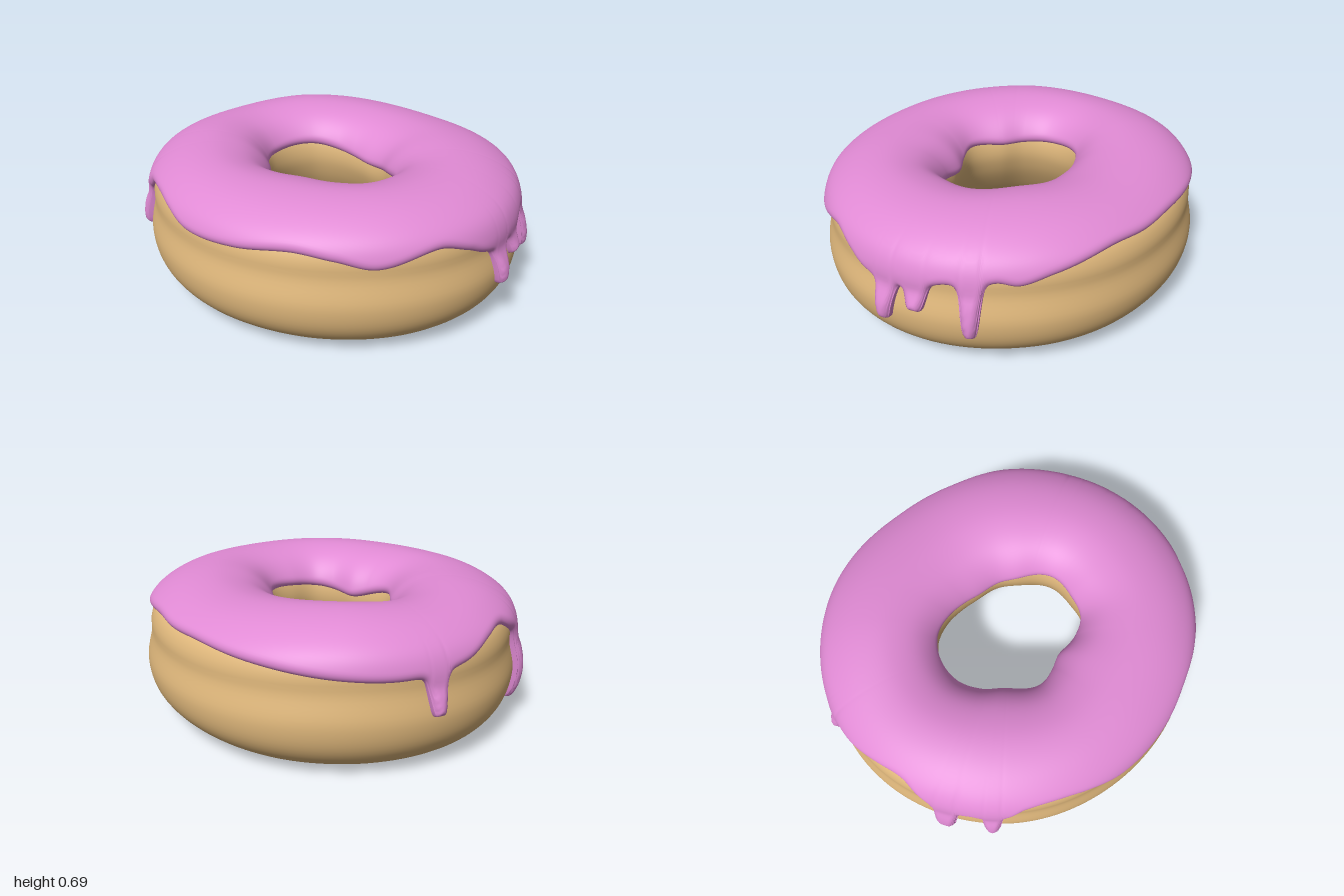
import * as THREE from 'three';

const RAD = Math.PI / 180;

// Smooth periodic interpolation through sorted [degrees, value] pairs
function around(table) {
  const n = table.length;
  const at = (k) => {
    const turn = Math.floor(k / n), [a, v] = table[k - turn * n];
    return [a + 360 * turn, v];
  };
  const slope = (k) => {
    const [a0, v0] = at(k - 1), [a1, v1] = at(k + 1);
    return (v1 - v0) / (a1 - a0);
  };
  return (deg) => {
    while (deg < table[0][0]) deg += 360;
    while (deg >= table[0][0] + 360) deg -= 360;
    let k = 0;
    while (at(k + 1)[0] <= deg) k++;
    const [a0, v0] = at(k), [a1, v1] = at(k + 1), h = a1 - a0, t = (deg - a0) / h;
    return v0 * (1 + 2 * t) * (1 - t) ** 2 + v1 * t * t * (3 - 2 * t)
      + h * t * (1 - t) * (slope(k) * (1 - t) - slope(k + 1) * t);
  };
}

// Angles run from the front (+z) towards +x
const outerRadius = around([[-135, 0.945], [-90, 0.963], [-45, 0.93], [0, 0.897], [45, 0.925], [90, 0.975], [135, 0.945], [180, 0.91]]);
const holeRadius = around([[-160, 0.295], [-141, 0.33], [-117, 0.375], [-82, 0.385], [-62, 0.36], [-42, 0.325], [-12, 0.335],
  [8, 0.31], [27, 0.295], [48, 0.345], [65, 0.375], [85, 0.36], [109, 0.355], [135, 0.305], [155, 0.295], [180, 0.278]]);
const crown = around([[-125, 0.7], [-90, 0.682], [-55, 0.695], [0, 0.68], [45, 0.682], [90, 0.675], [135, 0.685], [180, 0.67]]);
const outerEdge = around([[-170, 0.56], [-150, 0.53], [-125, 0.48], [-110, 0.47], [-92, 0.5], [-80, 0.55], [-70, 0.56], [-62, 0.5],
  [-49, 0.46], [-37, 0.48], [-32, 0.53], [-21, 0.545], [-12, 0.53], [0, 0.495], [18, 0.505], [35, 0.53], [47, 0.505], [58, 0.47],
  [75, 0.52], [84, 0.48], [91, 0.43], [101, 0.42], [113, 0.47], [127, 0.49], [133, 0.475], [142, 0.51], [160, 0.56], [175, 0.56]]);
const innerEdge = around([[-150, 0.49], [-100, 0.52], [-50, 0.49], [-10, 0.51], [25, 0.46], [60, 0.49], [100, 0.52], [150, 0.48]]);
// [angle, tip height, half width in degrees]
const drips = [[-101, 0.3, 2.6], [-56, 0.12, 3.1], [-42, 0.24, 2.7], [97, 0.24, 2.7], [106, 0.32, 2.9], [120.5, 0.23, 2.6]];

// Ring cross-section: x is 0 at the hole and WIDTH at the rim
const WIDTH = 0.585, SAMPLES = 400, TOP = 0.66, ICING = 0.033;
const section = new THREE.CatmullRomCurve3([
  [0, 0.44], [0.04, 0.54], [0.17, 0.62], [0.38, TOP], [0.58, 0.655], [0.76, 0.62], [0.9, 0.56], [0.95, 0.49], [0.955, 0.42],
  [1, 0.28], [0.96, 0.16], [0.84, 0.07], [0.64, 0.015], [0.45, 0.025], [0.28, 0.1], [0.13, 0.225], [0.035, 0.34],
].map(([u, y]) => new THREE.Vector3(u * WIDTH, y, 0)), true);
section.arcLengthDivisions = 1000;
const samples = section.getSpacedPoints(SAMPLES);
const step = section.getLength() / SAMPLES;

function sectionAt(s) {
  const f = s / step, i = Math.floor(f);
  const a = samples[((i % SAMPLES) + SAMPLES) % SAMPLES], b = samples[(((i + 1) % SAMPLES) + SAMPLES) % SAMPLES];
  return a.clone().lerp(b, f - i);
}

// Distance along the section where it crosses a height, on the rim or hole side
function distanceAtHeight(y, rim) {
  let i = rim ? Math.round(0.45 / step) : 0;
  while (rim ? samples[i + 1].y > y : samples[i + 1].y < y) i++;
  return (i + (y - samples[i].y) / (samples[i + 1].y - samples[i].y)) * step;
}

// Point on the ring surface, raised by a thickness along the section normal
function surfacePoint(phi, s, raise) {
  const p = sectionAt(s);
  const t = sectionAt(s + 0.012).sub(sectionAt(s - 0.012)).normalize();
  const deg = phi / RAD, hole = holeRadius(deg);
  const r = hole + (p.x / WIDTH) * (outerRadius(deg) - hole) - t.y * raise;
  const y = p.y * (crown(deg) - ICING) / TOP + t.x * raise;
  return [r * Math.sin(phi), y, r * Math.cos(phi)];
}

// Grid skin, closed around the ring and optionally around the section
function skin(columns, rows, closed, pointAt) {
  const pos = [], index = [], span = closed ? rows : rows + 1;
  for (let i = 0; i < columns; i++) {
    for (let j = 0; j < span; j++) pos.push(...pointAt(i, j));
    for (let j = 0; j < rows; j++) {
      const k = (j + 1) % span, n = ((i + 1) % columns) * span;
      const a = i * span + j, b = i * span + k, c = n + j, d = n + k;
      index.push(a, b, c, b, d, c);
    }
  }
  const g = new THREE.BufferGeometry();
  g.setAttribute('position', new THREE.Float32BufferAttribute(pos, 3));
  g.setIndex(index);
  g.computeVertexNormals();
  return g;
}

function doughGeometry() {
  const columns = 160, rows = 80;
  return skin(columns, rows, true, (i, j) =>
    surfacePoint((i / columns) * Math.PI * 2, (j / rows) * SAMPLES * step, 0));
}

function icingGeometry() {
  const columns = 1000, rows = 56, dPhi = (Math.PI * 2) / columns, inner = [], skirt = [], outer = [];
  for (let i = 0; i < columns; i++) {
    const deg = (i * dPhi) / RAD, base = outerEdge(deg);
    let edge = base;
    for (const [angle, tip, width] of drips) {
      const delta = ((deg - angle + 540) % 360) - 180;
      edge = Math.min(edge, base - (base - tip) / (1 + (delta / width) ** 6));
    }
    skirt.push(distanceAtHeight(base, true));
    outer.push(distanceAtHeight(edge, true));
    inner.push(distanceAtHeight(innerEdge(deg), false));
  }
  return skin(columns, rows, false, (i, j) => {
    const f = 0.5 - 0.5 * Math.cos((j / rows) * Math.PI);
    const s = inner[i] + (outer[i] - inner[i]) * f;
    // Rounded lip: thickness grows with distance from the nearest edge
    let d = s - inner[i];
    for (let k = -8; k <= 8; k++) {
      const gap = Math.max(0, outer[(i + k + columns) % columns] - s);
      d = Math.min(d, Math.hypot(k * dPhi * 0.95, gap));
    }
    const t = 1 - Math.min(d / 0.038, 1);
    // Drips swell towards their tips
    const swell = 0.015 * THREE.MathUtils.smoothstep(s - skirt[i], 0, 0.12);
    return surfacePoint(i * dPhi, s, -0.004 + (ICING + 0.004 + swell) * Math.sqrt(1 - t * t));
  });
}

export function createModel() {
  const group = new THREE.Group();
  group.name = 'doughnut';
  const add = (name, geometry, color) => {
    const mesh = new THREE.Mesh(geometry, new THREE.MeshStandardMaterial({ color }));
    mesh.name = name;
    group.add(mesh);
  };
  add('dough', doughGeometry(), 0xe0b87c);
  add('icing', icingGeometry(), 0xe08ad4);
  return group;
}
